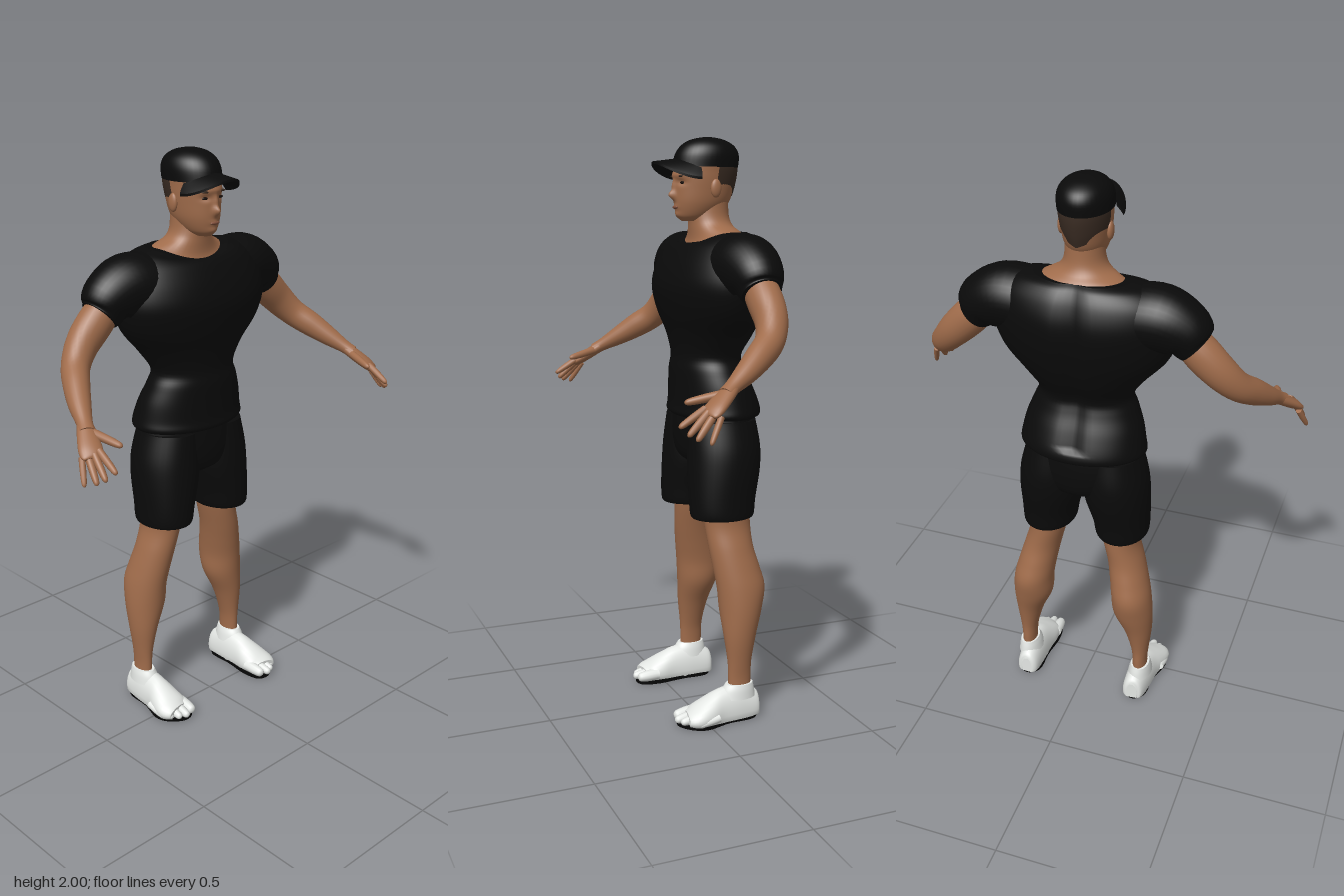
import * as THREE from 'three';

const mat = (name, color) => Object.assign(new THREE.MeshStandardMaterial({ color }), { name });
const skin = mat('skin', 0xa06c4b);
const cloth = mat('black cloth', 0x0a0a0a);
const shoeWhite = mat('shoe white', 0xe6e9e6);
const soleBlack = mat('sole black', 0x060606);
const hairBrown = mat('hair', 0x3a2c23);
const eyeDark = mat('eye dark', 0x1c120d);
const lipTone = mat('lips', 0x86543f);

// Catmull-Rom smoothing of rows of numbers
function smooth(rows, steps) {
  const out = [];
  const last = rows.length - 1;
  for (let i = 0; i < last; i++) {
    const a = rows[Math.max(i - 1, 0)], b = rows[i], c = rows[i + 1], d = rows[Math.min(i + 2, last)];
    for (let k = 0; k < steps; k++) {
      const t = k / steps;
      out.push(b.map((_, j) => {
        const linear = c[j] - a[j];
        const square = 2 * a[j] - 5 * b[j] + 4 * c[j] - d[j];
        const cube = 3 * (b[j] - c[j]) + d[j] - a[j];
        return b[j] + 0.5 * t * (linear + t * (square + t * cube));
      }));
    }
  }
  out.push(rows[last]);
  return out;
}

// Surface through rings of points, with flat ends when the rings are closed
function loft(rings, closed = true) {
  const pos = [], idx = [];
  const n = rings[0].length;
  rings.forEach(r => r.forEach(p => pos.push(p.x, p.y, p.z)));
  for (let i = 0; i < rings.length - 1; i++) {
    for (let j = 0; j < (closed ? n : n - 1); j++) {
      const a = i * n + j, b = i * n + (j + 1) % n;
      idx.push(a, b, a + n, b, b + n, a + n);
    }
  }
  if (closed) {
    [rings[0], rings[rings.length - 1]].forEach((ring, end) => {
      const start = pos.length / 3;
      const mid = new THREE.Vector3();
      ring.forEach(p => { pos.push(p.x, p.y, p.z); mid.addScaledVector(p, 1 / n); });
      pos.push(mid.x, mid.y, mid.z);
      for (let j = 0; j < n; j++) {
        const a = start + j, b = start + (j + 1) % n;
        idx.push(start + n, end ? a : b, end ? b : a);
      }
    });
  }
  const g = new THREE.BufferGeometry();
  g.setAttribute('position', new THREE.Float32BufferAttribute(pos, 3));
  g.setIndex(idx);
  g.computeVertexNormals();
  return g;
}

// Level rings, bottom to top: [y, halfWidth, zFront, zBack, frontDip, centreX]
function stack(rows, { seg = 40, steps = 5, warp, arc } = {}) {
  const rings = smooth(rows.map(r => [r[0], r[1], r[2], r[3], r[4] || 0, r[5] || 0]), steps)
    .map(([y, rx, zf, zb, dip, cx]) => Array.from({ length: seg }, (_, j) => {
      const a = arc ? arc[0] + (arc[1] - arc[0]) * j / (seg - 1) : j / seg * Math.PI * 2;
      const s = Math.sin(a), f = Math.max(0, -s);
      const p = new THREE.Vector3(cx + rx * Math.cos(a), y - dip * f * f, (zf + zb) / 2 - (zf - zb) / 2 * s);
      if (warp) warp(p);
      return p;
    }));
  return loft(rings, !arc);
}

// Rings square to a path: [x, y, z, radiusAcross, radiusUp]
function limb(rows, { seg = 24, steps = 5, warp } = {}) {
  const s = smooth(rows, steps);
  const at = i => new THREE.Vector3(...s[Math.min(Math.max(i, 0), s.length - 1)].slice(0, 3));
  return loft(s.map((r, i) => {
    const t = at(i + 1).sub(at(i - 1)).normalize();
    const side = new THREE.Vector3(0, 1, 0).cross(t).normalize();
    const up = t.clone().cross(side);
    return Array.from({ length: seg }, (_, j) => {
      const a = j / seg * Math.PI * 2;
      const p = at(i).addScaledVector(side, r[3] * Math.cos(a)).addScaledVector(up, r[4] * Math.sin(a));
      if (warp) warp(p);
      return p;
    });
  }));
}

// Finger or toe with a rounded tip
function digit(a, b, r) {
  const row = (t, k) => [...a.map((v, i) => v + (b[i] - v) * t), r * k, r * k];
  return limb([row(0, 1), row(0.45, 1), row(0.8, 0.85), row(0.95, 0.6), row(1, 0.15)], { seg: 12, steps: 3 });
}

const blob = (x, y, z, rx, ry, rz) => new THREE.SphereGeometry(1, 20, 14).scale(rx, ry, rz).translate(x, y, z);

function mirrored(g) {
  const m = g.clone().scale(-1, 1, 1);
  const ix = m.index.array;
  for (let i = 0; i < ix.length; i += 3) [ix[i], ix[i + 1]] = [ix[i + 1], ix[i]];
  m.computeVertexNormals();
  return m;
}

export function createModel() {
  const model = new THREE.Group();
  model.name = 'figure';
  const add = (name, g, m) => {
    const mesh = new THREE.Mesh(g, m);
    mesh.name = name;
    model.add(mesh);
  };
  const pair = (name, g, m) => { add('left ' + name, g, m); add('right ' + name, mirrored(g), m); };

  // Head, with the face raised and sunk by soft bumps
  const bumps = [[0, 1.808, 0.011, 0.015, 0.022], [0, 1.838, 0.009, 0.018, 0.009], [0.032, 1.85, 0.016, 0.01, -0.008],
    [-0.032, 1.85, 0.016, 0.01, -0.008], [0, 1.874, 0.05, 0.009, 0.004], [0, 1.742, 0.02, 0.012, 0.006], [0, 1.769, 0.018, 0.009, 0.004]];
  const face = p => {
    if (p.z < -0.04) return;
    const { x, y } = p;
    for (const [bx, by, sx, sy, h] of bumps) p.z += h * Math.exp(-(((x - bx) / sx) ** 2) - ((y - by) / sy) ** 2);
  };
  add('head', stack([[1.722, 0.025, 0.0, -0.08], [1.74, 0.048, 0.016, -0.12], [1.78, 0.068, 0.026, -0.165], [1.83, 0.077, 0.028, -0.185],
    [1.88, 0.081, 0.029, -0.194], [1.93, 0.08, 0.015, -0.194], [1.965, 0.05, -0.03, -0.15]], { seg: 96, steps: 10, warp: face }), skin);
  add('neck', stack([[1.66, 0.172, -0.012, -0.215, 0.045], [1.685, 0.13, -0.03, -0.2, 0.03], [1.707, 0.085, -0.03, -0.18],
    [1.74, 0.066, -0.028, -0.168], [1.8, 0.062, -0.035, -0.165]]), skin);
  add('hair', stack([[1.795, 0.076, 0.03, -0.178], [1.83, 0.081, 0.032, -0.189], [1.88, 0.085, 0.033, -0.198], [1.93, 0.084, 0.02, -0.198]],
    { arc: [0.15, Math.PI - 0.15], warp: p => { p.y += 0.25 * (1.93 - p.y) * Math.abs(p.x) / 0.08; } }), hairBrown);
  add('lips', blob(0, 1.768, 0.025, 0.02, 0.006, 0.006), lipTone);
  pair('ear', blob(0.08, 1.83, -0.09, 0.011, 0.031, 0.019), skin);
  pair('eye', blob(0.032, 1.849, 0.013, 0.014, 0.005, 0.005), eyeDark);
  pair('eyebrow', blob(0.034, 1.87, 0.02, 0.018, 0.004, 0.005), hairBrown);

  // Cap: dome and arched brim
  add('cap', stack([[1.9, 0.087, 0.03, -0.2], [1.94, 0.087, 0.022, -0.203], [1.97, 0.075, 0.002, -0.188],
    [1.99, 0.05, -0.03, -0.155], [1.999, 0.02, -0.07, -0.115], [2.0, 0.002, -0.09, -0.094]]), cloth);
  const brim = new THREE.BoxGeometry(1, 1, 1, 28, 1, 8);
  const bp = brim.attributes.position;
  for (let i = 0; i < bp.count; i++) {
    const a = bp.getX(i) * Math.PI * 0.96, v = bp.getZ(i) + 0.5;
    const x = Math.sin(a) * (0.08 + 0.022 * Math.sin(v * Math.PI / 2));
    bp.setXYZ(i, x, 1.926 - 5 * x * x - 0.012 * v + 0.008 * bp.getY(i), -0.04 + Math.cos(a) * (0.05 + 0.095 * v));
  }
  brim.computeVertexNormals();
  add('cap brim', brim, cloth);

  // Shirt, with a groove down the back
  add('shirt', stack([[1.058, 0.208, 0.025, -0.255], [1.07, 0.22, 0.035, -0.268], [1.1, 0.216, 0.031, -0.264], [1.16, 0.203, 0.03, -0.24],
    [1.22, 0.18, 0.03, -0.212], [1.27, 0.165, 0.025, -0.202], [1.34, 0.21, 0.037, -0.235], [1.42, 0.28, 0.062, -0.26],
    [1.5, 0.31, 0.075, -0.274], [1.57, 0.31, 0.058, -0.274], [1.63, 0.285, 0.025, -0.258], [1.67, 0.23, 0, -0.235, 0.02],
    [1.685, 0.165, -0.01, -0.215, 0.045]], {
    seg: 72,
    warp: p => { if (p.z < -0.12 && p.y > 1.1) p.z += 0.016 * Math.exp(-((p.x / 0.035) ** 2)); },
  }), cloth);
  pair('sleeve', limb([[0.17, 1.57, -0.115, 0.115, 0.105], [0.26, 1.575, -0.12, 0.11, 0.108], [0.335, 1.545, -0.12, 0.092, 0.094],
    [0.365, 1.51, -0.12, 0.074, 0.072], [0.376, 1.499, -0.12, 0.068, 0.063]], { seg: 36 }), cloth);

  // Arms and hands
  pair('arm', limb([[0.33, 1.54, -0.12, 0.055, 0.055], [0.395, 1.475, -0.122, 0.058, 0.062], [0.455, 1.415, -0.115, 0.053, 0.057],
    [0.505, 1.36, -0.085, 0.047, 0.049], [0.545, 1.318, -0.03, 0.043, 0.045], [0.58, 1.277, 0.03, 0.036, 0.035],
    [0.607, 1.243, 0.085, 0.026, 0.024], [0.622, 1.224, 0.115, 0.027, 0.022]]), skin);
  pair('palm', limb([[0.607, 1.243, 0.085, 0.024, 0.02], [0.625, 1.217, 0.12, 0.032, 0.02], [0.645, 1.188, 0.16, 0.038, 0.018],
    [0.656, 1.172, 0.18, 0.034, 0.013], [0.659, 1.167, 0.187, 0.024, 0.006]]), skin);
  const fingers = { index: [[0.633, 1.187, 0.185], [0.635, 1.135, 0.27]], middle: [[0.648, 1.178, 0.182], [0.66, 1.112, 0.252]],
    ring: [[0.662, 1.172, 0.17], [0.679, 1.1, 0.232]], little: [[0.673, 1.166, 0.152], [0.7, 1.09, 0.196]] };
  for (const [name, [a, b]] of Object.entries(fingers)) pair(name + ' finger', digit(a, b, name === 'little' ? 0.01 : 0.012), skin);
  pair('thumb', digit([0.612, 1.225, 0.105], [0.578, 1.198, 0.23], 0.014), skin);

  // Shorts
  add('shorts seat', stack([[0.875, 0.05, -0.05, -0.16], [0.91, 0.15, 0.0, -0.22], [0.97, 0.205, 0.015, -0.238],
    [1.05, 0.202, 0.015, -0.238], [1.1, 0.19, 0.01, -0.23]]), cloth);
  pair('shorts leg', stack([[0.712, 0.08, 0.005, -0.195, 0, 0.137], [0.722, 0.093, 0.018, -0.208, 0, 0.135], [0.78, 0.1, 0.022, -0.215, 0, 0.131],
    [0.88, 0.115, 0.022, -0.235, 0, 0.118], [0.96, 0.114, 0.018, -0.238, 0, 0.112], [1.05, 0.1, 0.01, -0.225, 0, 0.103]]), cloth);

  // Legs
  pair('leg', stack([[0.09, 0.027, -0.085, -0.165, 0, 0.222], [0.15, 0.026, -0.085, -0.168, 0, 0.221], [0.21, 0.032, -0.083, -0.17, 0, 0.22],
    [0.3, 0.05, -0.073, -0.188, 0, 0.212], [0.39, 0.071, -0.065, -0.215, 0, 0.194], [0.47, 0.071, -0.058, -0.23, 0, 0.187],
    [0.54, 0.068, -0.048, -0.215, 0, 0.174], [0.61, 0.065, -0.038, -0.198, 0, 0.158], [0.69, 0.064, -0.03, -0.195, 0, 0.138],
    [0.78, 0.075, -0.02, -0.195, 0, 0.13]]), skin);

  // Shoes with moulded toes and dark soles
  pair('shoe', limb([[0.212, 0.03, -0.2, 0.02, 0.045], [0.212, 0.03, -0.187, 0.038, 0.066], [0.215, 0.03, -0.12, 0.046, 0.092],
    [0.218, 0.03, -0.05, 0.05, 0.085], [0.222, 0.03, 0, 0.06, 0.062], [0.225, 0.028, 0.045, 0.063, 0.038],
    [0.222, 0.026, 0.07, 0.048, 0.024]], { warp: p => { p.y = Math.max(p.y, 0.009); } }), shoeWhite);
  pair('shoe collar', stack([[0.08, 0.044, -0.05, -0.185, 0, 0.22], [0.11, 0.039, -0.062, -0.18, 0, 0.221],
    [0.13, 0.033, -0.075, -0.175, 0, 0.222]]), shoeWhite);
  const toes = [[0.181, 0.104, 0.021], [0.212, 0.112, 0.017], [0.237, 0.1, 0.016], [0.259, 0.078, 0.015], [0.277, 0.052, 0.014]];
  toes.forEach(([x, z, r], i) => pair('toe ' + (i + 1), digit([x - 0.004, 0.033, z - 0.08], [x, r + 0.005, z], r), shoeWhite));
  const edge = [[0.212, -0.197], [0.25, -0.17], [0.26, -0.07], [0.283, 0.02], [0.265, 0.065],
    [0.215, 0.1], [0.175, 0.09], [0.16, 0.03], [0.17, -0.07], [0.174, -0.17]].map(([x, z]) => new THREE.Vector3(x, -z, 0));
  const outline = new THREE.CatmullRomCurve3(edge, true).getPoints(48).slice(0, -1).map(p => new THREE.Vector2(p.x, p.y));
  const sole = new THREE.ExtrudeGeometry(new THREE.Shape(outline), { depth: 0.012, bevelEnabled: false }).rotateX(-Math.PI / 2);
  sole.setIndex([...Array(sole.attributes.position.count).keys()]);
  pair('sole', sole, soleBlack);

  return model;
}
